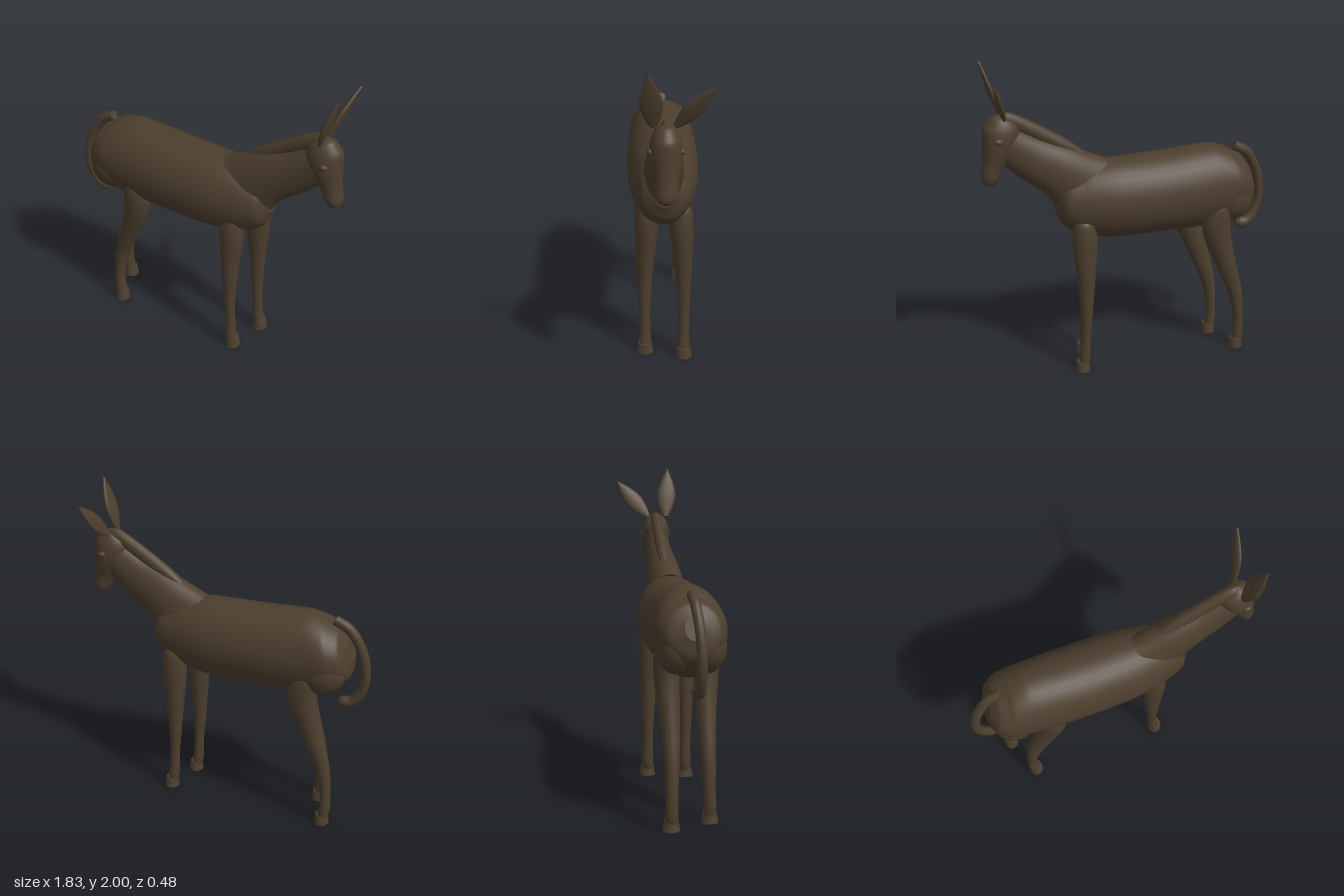
import * as THREE from 'three';

const MID = 0.018; // z of the body's plane of symmetry

// Smooth skin through stations [x, y, z, radius in the side plane, radius across]
function loft(stations, sides = 24, steps = 5) {
  const path = new THREE.CatmullRomCurve3(stations.map((s) => new THREE.Vector3(s[0], s[1], s[2])));
  const radii = new THREE.CatmullRomCurve3(
    stations.map((s) => new THREE.Vector3(s[3], s[4], 0)), false, 'catmullrom', 0.5);
  const rings = (stations.length - 1) * steps;
  const pos = [], index = [];
  const addRing = (t) => {
    const c = path.getPoint(t), r = radii.getPoint(t), T = path.getTangent(t);
    const B = new THREE.Vector3(0, 0, 1).addScaledVector(T, -T.z).normalize();
    const N = new THREE.Vector3().crossVectors(B, T);
    for (let j = 0; j < sides; j++) {
      const a = (j / sides) * Math.PI * 2;
      const p = c.clone().addScaledVector(N, Math.cos(a) * r.x).addScaledVector(B, Math.sin(a) * r.y);
      pos.push(p.x, p.y, p.z);
    }
    return c;
  };
  for (let i = 0; i <= rings; i++) addRing(i / rings);
  for (let i = 0; i < rings; i++) {
    for (let j = 0; j < sides; j++) {
      const k = (j + 1) % sides;
      const a = i * sides + j, b = i * sides + k, c = b + sides, d = a + sides;
      index.push(a, b, c, a, c, d);
    }
  }
  // flat caps with their own vertices
  for (const t of [0, 1]) {
    const start = pos.length / 3;
    const c = addRing(t);
    const centre = pos.length / 3;
    pos.push(c.x, c.y, c.z);
    for (let j = 0; j < sides; j++) {
      const a = start + j, b = start + ((j + 1) % sides);
      index.push(centre, t ? a : b, t ? b : a);
    }
  }
  const g = new THREE.BufferGeometry();
  g.setAttribute('position', new THREE.Float32BufferAttribute(pos, 3));
  g.setIndex(index);
  g.computeVertexNormals();
  return g;
}

export function createModel() {
  const group = new THREE.Group();
  const coat = new THREE.MeshStandardMaterial({ color: 0x4c3e2e });
  coat.name = 'brown coat';

  const add = (name, geometry) => {
    const mesh = new THREE.Mesh(geometry, coat);
    mesh.name = name;
    group.add(mesh);
    return mesh;
  };
  const ellipsoid = (name, p, r) => {
    const mesh = add(name, new THREE.SphereGeometry(1, 24, 16));
    mesh.position.set(...p);
    mesh.scale.set(...r);
    return mesh;
  };

  // Barrel of the body, rump to chest
  add('body', loft([
    [-0.795, 1.19, MID, 0.07, 0.06],
    [-0.765, 1.18, MID, 0.15, 0.15],
    [-0.69, 1.155, MID, 0.215, 0.2],
    [-0.55, 1.13, MID, 0.265, 0.212],
    [-0.2, 1.115, MID, 0.257, 0.222],
    [0.1, 1.11, MID, 0.252, 0.212],
    [0.3, 1.12, MID, 0.22, 0.175],
    [0.42, 1.14, MID, 0.15, 0.135],
    [0.465, 1.145, MID, 0.07, 0.06],
  ], 36, 6));

  // Neck, mane and head
  add('neck', loft([
    [0.28, 1.195, MID, 0.225, 0.125],
    [0.42, 1.31, MID, 0.17, 0.112],
    [0.6, 1.415, MID, 0.137, 0.09],
    [0.76, 1.53, MID, 0.11, 0.075],
  ], 32));
  add('mane', loft([
    [0.3, 1.42, 0.012, 0.02, 0.03],
    [0.4, 1.475, 0.012, 0.04, 0.038],
    [0.6, 1.595, 0.012, 0.045, 0.038],
    [0.74, 1.675, 0.012, 0.04, 0.035],
    [0.785, 1.69, 0.012, 0.02, 0.02],
  ], 16));
  add('head', loft([
    [0.755, 1.695, MID, 0.02, 0.02],
    [0.763, 1.67, MID, 0.075, 0.06],
    [0.775, 1.6, MID, 0.112, 0.088],
    [0.802, 1.5, MID, 0.092, 0.088],
    [0.835, 1.4, MID, 0.066, 0.066],
    [0.858, 1.325, MID, 0.053, 0.063],
    [0.868, 1.285, MID, 0.038, 0.045],
    [0.871, 1.272, MID, 0.012, 0.015],
  ], 28));

  // Two leaf-shaped ears, one upright and one tipped outward
  const ear = (name, base, tip, width) => {
    const profile = [[0, 0.3], [0.15, 0.66], [0.42, 1], [0.7, 0.72], [0.9, 0.28], [1, 0.03]];
    add(name, loft(profile.map(([t, w]) => [
      ...base.map((v, i) => v + (tip[i] - v) * t), 0.006 + 0.012 * w, width * w,
    ]), 18));
  };
  ear('rightEar', [0.772, 1.685, 0.085], [0.872, 2.0, 0.112], 0.064);
  ear('leftEar', [0.768, 1.685, -0.035], [0.85, 1.922, -0.24], 0.055);

  // Tail curling forward to a tuft
  add('tail', loft([
    [-0.69, 1.365, 0.015, 0.03, 0.03],
    [-0.78, 1.315, 0.02, 0.032, 0.03],
    [-0.86, 1.18, 0.033, 0.03, 0.03],
    [-0.888, 1.02, 0.04, 0.03, 0.03],
    [-0.865, 0.9, 0.04, 0.032, 0.03],
    [-0.81, 0.828, 0.037, 0.034, 0.032],
    [-0.76, 0.822, 0.035, 0.036, 0.034],
    [-0.735, 0.826, 0.035, 0.022, 0.02],
  ], 16));

  for (const side of [1, -1]) {
    const label = side > 0 ? 'right' : 'left';
    const z = (offset) => MID + side * offset;

    ellipsoid(label + 'Eye', [0.81, 1.56, z(0.085)], [0.029, 0.02, 0.019]);
    ellipsoid(label + 'Haunch', [-0.65, 1.06, z(0.085)], [0.148, 0.155, 0.118]);

    // Front leg
    const fx = side > 0 ? 0 : 0.065;
    add(label + 'FrontLeg', loft([
      [0.25 + fx, 1.04, z(0.105), 0.025, 0.025],
      [0.248 + fx, 1.0, z(0.105), 0.066, 0.06],
      [0.248 + fx, 0.87, z(0.105), 0.077, 0.072],
      [0.246 + fx, 0.65, z(0.115), 0.058, 0.056],
      [0.248 + fx, 0.42, z(0.12), 0.04, 0.042],
      [0.255 + fx, 0.25, z(0.12), 0.031, 0.034],
      [0.263 + fx, 0.1, z(0.12), 0.034, 0.037],
      [0.272 + fx, 0.045, z(0.12), 0.032, 0.036],
    ], 20));

    // Hind leg, swept back to the hock
    const hx = side > 0 ? 0 : -0.1;
    add(label + 'HindLeg', loft([
      [-0.465 + hx, 1.065, z(0.13), 0.02, 0.02],
      [-0.455 + hx, 1.02, z(0.13), 0.075, 0.065],
      [-0.44 + hx, 0.88, z(0.125), 0.092, 0.075],
      [-0.515 + hx, 0.62, z(0.115), 0.067, 0.058],
      [-0.59 + hx, 0.4, z(0.115), 0.046, 0.044],
      [-0.617 + hx, 0.22, z(0.118), 0.034, 0.036],
      [-0.618 + hx, 0.1, z(0.12), 0.035, 0.038],
      [-0.608 + hx, 0.045, z(0.12), 0.034, 0.037],
    ], 20));

    // Hooves
    for (const [name, x] of [['FrontHoof', 0.28 + fx], ['HindHoof', -0.603 + hx]]) {
      const hoof = add(label + name, new THREE.CylinderGeometry(0.038, 0.047, 0.06, 20));
      hoof.position.set(x, 0.03, z(0.121));
      hoof.scale.z = 1.12;
    }
  }
  return group;
}
